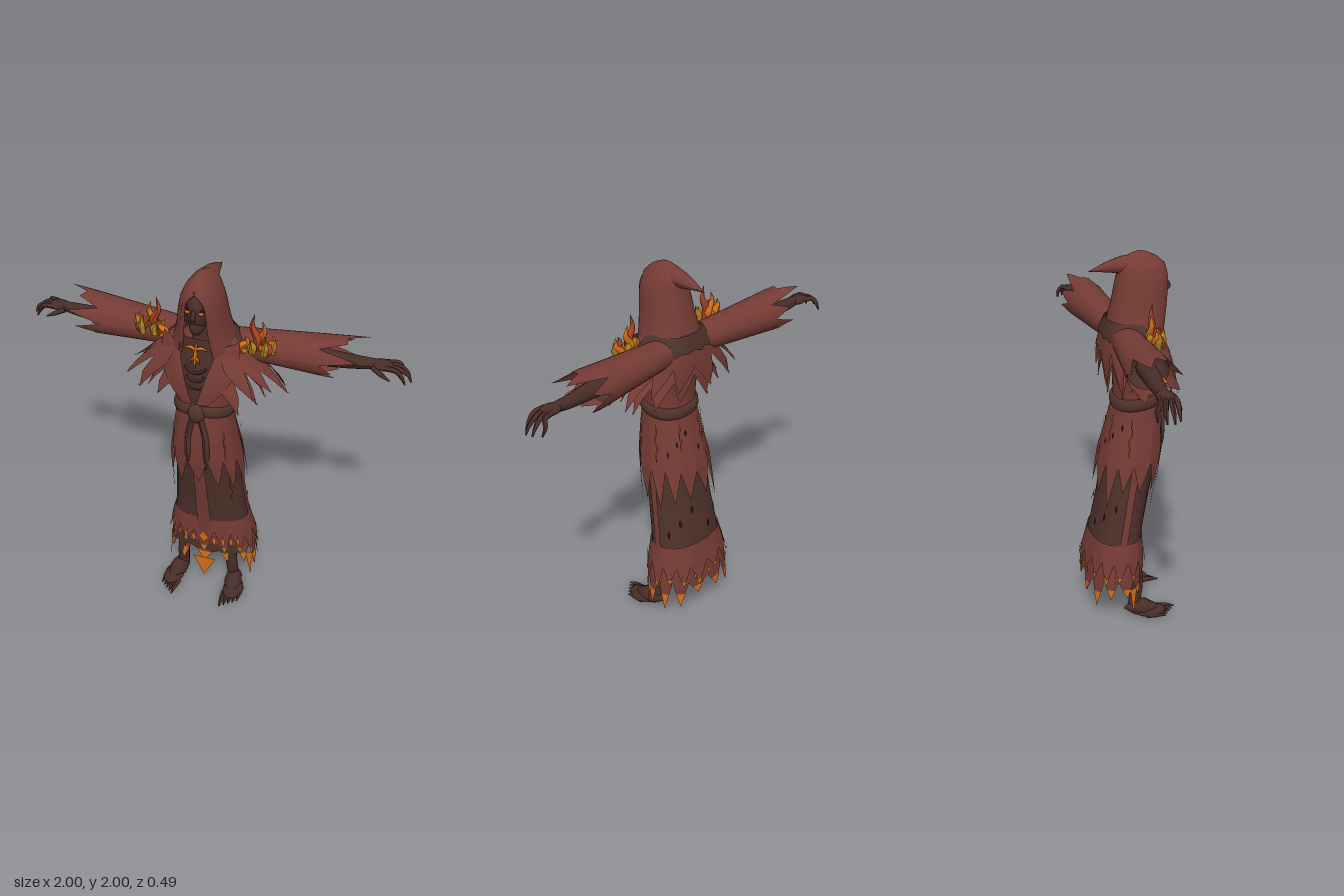
import * as THREE from 'three';

const mat = (name, color) => Object.assign(new THREE.MeshStandardMaterial({ color, side: THREE.DoubleSide }), { name });
const cloth = mat('red cloth', 0x753b34), brown = mat('brown underrobe', 0x4d312a), skin = mat('charred skin', 0x482d27);
const leather = mat('leather', 0x52332c), black = mat('soot', 0x1d1512), orange = mat('glowing orange', 0xd06c1a);
const gold = mat('dull gold', 0xab801f), ember = mat('ember red', 0xa8421f);

// Profile rows: [y, half width, front z, back z]
const ROBE = [[.08, .25, .07, -.235], [.3, .235, .07, -.22], [.48, .208, .08, -.192], [.7, .187, .12, -.15], [.95, .17, .172, -.115],
  [1.1, .153, .182, -.08], [1.25, .14, .182, -.052], [1.4, .155, .185, -.058], [1.55, .19, .165, -.08], [1.64, .14, .13, -.07], [1.68, .06, .1, -.03]];
const MANTLE = [[1.3, .46, .225, -.12], [1.41, .41, .225, -.125], [1.5, .3, .22, -.125], [1.6, .215, .18, -.11], [1.67, .13, .15, -.09]];
const UNDER_MANTLE = MANTLE.map(([y, x, f, b]) => [y - .05, x * .68, f - .015, b + .015]);
const HOOD = [[1.59, .18, .19, -.1], [1.66, .145, .205, -.085], [1.74, .125, .215, -.065], [1.82, .112, .222, -.05], [1.88, .099, .22, -.038],
  [1.93, .077, .205, -.03], [1.965, .05, .17, -.005], [1.99, .022, .12, .04], [2, .002, .082, .078]];
const OPENING = [[1.59, .085], [1.66, .075], [1.74, .066], [1.82, .06], [1.88, .047], [1.93, 0], [2, 0]];

let seed = 7;
const rand = () => (seed = (seed * 16807) % 2147483647) / 2147483647;

function sample(rows, y) {
  let i = 0;
  while (i < rows.length - 2 && y > rows[i + 1][0]) i++;
  const a = rows[i], b = rows[i + 1], t = THREE.MathUtils.clamp((y - a[0]) / (b[0] - a[0]), 0, 1);
  return a.map((v, k) => v + (b[k] - v) * t);
}

// Point on a profile; angle 0 faces the front
function at(rows, a, y, off = 0) {
  const [, hx, f, b] = sample(rows, y), s = Math.sin(a), c = Math.cos(a);
  return [(hx + off) * Math.sign(s) * Math.abs(s) ** .88, y, (f + b) / 2 + ((f - b) / 2 + off) * Math.sign(c) * Math.abs(c) ** .88];
}

function grid(nu, nv, fn) {
  const pos = [], idx = [];
  for (let j = 0; j <= nv; j++) for (let i = 0; i <= nu; i++) pos.push(...fn(i / nu, j / nv, i));
  for (let j = 0; j < nv; j++) for (let i = 0; i < nu; i++) {
    const a = j * (nu + 1) + i, b = a + nu + 1;
    idx.push(a, b, a + 1, a + 1, b, b + 1);
  }
  const g = new THREE.BufferGeometry();
  g.setAttribute('position', new THREE.Float32BufferAttribute(pos, 3));
  g.setIndex(idx);
  g.computeVertexNormals();
  return g;
}

function facets(points) {
  const g = new THREE.BufferGeometry();
  g.setAttribute('position', new THREE.Float32BufferAttribute(points.flat(), 3));
  g.computeVertexNormals();
  return g;
}

// Tapered tube through points, one radius per point
function limb(points, radii, sides = 8) {
  const curve = new THREE.CatmullRomCurve3(points.map(p => new THREE.Vector3(...p)));
  const n = points.length * 4, g = new THREE.TubeGeometry(curve, n, 1, sides), p = g.attributes.position, v = new THREE.Vector3();
  for (let i = 0; i < p.count; i++) {
    const t = Math.floor(i / (sides + 1)) / n, c = curve.getPointAt(t), k = Math.min(t * (radii.length - 1), radii.length - 1.001), q = Math.floor(k);
    v.fromBufferAttribute(p, i).sub(c).multiplyScalar(radii[q] + (radii[q + 1] - radii[q]) * (k - q)).add(c);
    p.setXYZ(i, v.x, v.y, v.z);
  }
  g.computeVertexNormals();
  return g;
}

export function createModel() {
  const root = new THREE.Group();
  const add = (name, geo, m, parent = root) => {
    const o = new THREE.Mesh(geo, m);
    o.name = name;
    parent.add(o);
    return o;
  };
  const ball = (name, p, s, m, parent) => {
    const o = add(name, new THREE.SphereGeometry(1, 16, 12), m, parent);
    o.position.set(...p);
    o.scale.set(...s);
  };

  // Cloth layer hanging from y0, with n pointed teeth and optional coloured tips
  function layer(name, rows, m, { y0, hem, n, depth = 0, off = [0, 0], from = -Math.PI, to = Math.PI, tip = null, tipSize = .3 }) {
    const ends = [], ang = t => from + (to - from) * t;
    for (let i = 0; i <= 2 * n; i++) ends.push(hem(ang(i / 2 / n)) + (i % 2 ? -depth * (.45 + .55 * rand()) : depth * .2 * rand()));
    ends[2 * n] = ends[0];
    // Four columns per tooth keep the cloth round
    const end = i => i % 2 ? (ends[(i - 1) / 2] + ends[(i + 1) / 2]) / 2 : ends[i / 2];
    const point = (t, v, i) => at(rows, ang(t), y0 + (end(i) - y0) * v, off[0] + (off[1] - off[0]) * v);
    add(name, grid(4 * n, 10, point), m);
    if (!tip) return;
    const tris = [];
    for (let i = 1; i < 2 * n; i += 2) {
      const c = (k, w) => at(rows, ang((i + (k - i) * w) / 2 / n), ends[i] + (ends[k] - ends[i]) * w, off[1] + .004);
      tris.push(c(i - 1, tipSize), c(i, 0), c(i + 1, tipSize));
    }
    add(name + 'Tips', facets(tris), tip);
  }

  // Robe, from inside to outside
  layer('torso', ROBE, cloth, { y0: 1.68, hem: () => .95, n: 12 });
  layer('underskirt', ROBE, brown, { y0: 1.1, hem: () => .3, n: 12, depth: .04, off: [-.006, -.006] });
  layer('upperSkirt', ROBE, cloth, { y0: 1.25, hem: a => .93 - .05 * (1 - Math.cos(a)) / 2, n: 13, depth: .22, off: [.002, .022] });
  const front = a => Math.abs(a) < .95;
  layer('innerHem', ROBE, cloth, { y0: .46, hem: a => front(a) ? .29 : .25, n: 13, depth: .15, off: [-.004, .006], tip: orange, tipSize: .55 });
  layer('outerHem', ROBE, cloth, { y0: .48, hem: a => front(a) ? .39 : .36, n: 15, depth: .15, off: [.002, .015], tip: gold, tipSize: .3 });
  layer('scorchedBand', ROBE, brown, { y0: .31, hem: () => .26, n: 6, depth: .02, off: [.01, .01], from: -.9, to: .9 });
  layer('frontStrip', ROBE, cloth, { y0: 1.22, hem: () => .4, n: 3, off: [.008, .01], from: -.14, to: .14 });
  for (const s of [-1, 1]) {
    layer('sideStrip', ROBE, cloth, { y0: 1, hem: () => .45, n: 2, off: [.003, .003], from: s * 1.5, to: s * 1.72 });
    add('sideHemPoint', facets([at(ROBE, s * 1.05, .22, .01), at(ROBE, s * 1.2, .06, .008), at(ROBE, s * 1.35, .22, .01)]), orange);
  }
  add('frontHemPoint', facets([[-.065, .2, .088], [0, .07, .088], [.065, .2, .088]]), orange);

  // Painted scorch marks, hem embers and glowing cracks
  const diamonds = (name, m, list) => add(name, facets(list.flatMap(([a, y, w, h, off]) => {
    const l = at(ROBE, a - w, y, off), r = at(ROBE, a + w, y, off), t = at(ROBE, a, y + h, off), b = at(ROBE, a, y - h, off);
    return [l, b, t, t, b, r];
  })), m);
  const holes = [], embers = [], cracks = [];
  for (let i = 0; i < 6; i++) {
    holes.push([2.1 + i * .42, .56 + (i % 3) * .06, .055, .026, .006], [2.3 + i * .34, 1.02 + (i % 3) * .05, .05, .02, .017]);
  }
  for (let i = -4; i <= 4; i++) embers.push([i * .2, i ? .34 : .36, i ? .05 : .09, .042, .022], [Math.PI + i * .33, .3, .03, .025, .022]);
  for (const s of [-1, 1]) for (let i = 0; i < 4; i++) {
    const lean = i % 2 * .05;
    cracks.push([s * (.8 + lean), 1.0 + i * .045, .025, .035, .024], [s * (1.9 + lean), 1.0 + i * .05, .025, .035, .022]);
    cracks.push([s * (.82 + lean), .7 + i * .045, .02, .035, .026], [s * (2.75 + lean), 1.05 + i * .035, .02, .028, .02]);
  }
  diamonds('scorchHoles', black, holes);
  diamonds('hemEmbers', orange, embers);
  diamonds('glowingCracks', ember, cracks);

  // Belt with knot and hanging tails lying on the robe
  const belt = new THREE.CatmullRomCurve3(Array.from({ length: 24 }, (_, i) => {
    const a = i / 24 * Math.PI * 2;
    return new THREE.Vector3(...at(ROBE, a, 1.245 + .012 * Math.cos(a), -.002));
  }), true);
  const strap = add('belt', new THREE.TubeGeometry(belt, 64, .02, 8, true), leather);
  strap.scale.y = 1.8;
  strap.position.y = -.8 * 1.245;
  ball('beltKnot', [0, 1.255, .19], [.045, .052, .026], leather);
  for (const s of [-1, 1]) add('beltTail', limb([[s * .02, 1.23, .19], [s * .045, 1.12, .188], [s * .05, 1, .184], [s * .045, .9, .173]], [.014, .017, .019, .004], 8), leather);

  // Shoulder mantle and lapels around an open chest
  layer('underMantle', UNDER_MANTLE, cloth, { y0: 1.6, hem: () => 1.44, n: 10, depth: .15, off: [0, .01], from: .45, to: Math.PI * 2 - .45, tip: ember, tipSize: .1 });
  layer('mantle', MANTLE, cloth, { y0: 1.67, hem: () => 1.5, n: 12, depth: .16, from: .5, to: Math.PI * 2 - .5, tip: ember, tipSize: .08 });
  layer('collarBand', MANTLE, brown, { y0: 1.67, hem: () => 1.59, n: 12, depth: .015, off: [.008, .008], from: 1.35, to: Math.PI * 2 - 1.35 });
  add('chest', grid(10, 6, (u, v) => {
    const w = .12 - .1 * v, x = (u * 2 - 1) * w;
    return [x, 1.67 - .34 * v, .165 + .045 * Math.sin(v * 1.6) - x * x * 2];
  }), skin);
  for (const s of [-1, 1]) {
    add('lapel', grid(6, 8, (u, v) => {
      const inner = .1 - .09 * v, outer = .19 + .03 * Math.sin(v * 3) - .13 * v * v, x = inner + (outer - inner) * u;
      return [s * x, 1.63 - .3 * v + .03 * u * (1 - v), .17 + .055 * Math.sin(v * 1.9) - x * x * 1.6];
    }), cloth);
    for (let i = 0; i < 3; i++) add('rib', limb([[0, 1.5 - i * .045, .202], [s * .03, 1.51 - i * .045, .2], [s * (.055 - i * .012), 1.53 - i * .045, .193]], [.007, .008, .006], 6), skin);
    add('chestRune', limb([[0, 1.622, .19], [s * .025, 1.638, .193], [s * .06, 1.63, .188]], [.008, .009, .003], 6), orange);
    add('lowerRune', limb([[0, 1.59, .2], [s * .012, 1.58, .204], [s * .024, 1.56, .204]], [.007, .007, .002], 6), orange);
  }
  add('runeStem', limb([[0, 1.665, .18], [0, 1.6, .2], [0, 1.53, .209]], [.003, .009, .003], 6), orange);

  // Hood, dark lining, rim and swept peak
  const hoodPoint = (u, v, off) => {
    const y = 1.59 + .41 * (1 - (1 - v) ** 1.6), w = sample(OPENING, y)[1], a = Math.asin(Math.min(1, w / sample(HOOD, y)[1]));
    return at(HOOD, a + (Math.PI * 2 - 2 * a) * u, y, off);
  };
  add('hood', grid(36, 24, (u, v) => hoodPoint(u, v, 0)), cloth);
  add('hoodLining', grid(36, 20, (u, v) => hoodPoint(u, v * .68, -.012)), brown);
  const rim = OPENING.slice(0, 6).map(([y, w]) => [w, y, at(HOOD, Math.asin(w / sample(HOOD, y)[1]), y)[2]]);
  for (const s of [-1, 1]) add('hoodRim', limb(rim.map(([x, y, z]) => [s * x, y, z - .006]), [.006, .009, .009, .009, .009, .009], 8), cloth);
  add('hoodPeak', limb([[0, 1.925, .07], [0, 1.932, -.01], [0, 1.927, -.08], [0, 1.912, -.18]], [.06, .045, .024, .001], 12), cloth);

  // Face and neck
  ball('head', [0, 1.82, .14], [.06, .1, .078], skin);
  ball('jaw', [0, 1.745, .17], [.036, .045, .045], skin);
  add('neck', limb([[0, 1.79, .1], [0, 1.7, .09], [0, 1.62, .1]], [.04, .04, .06]), skin);
  add('nose', limb([[0, 1.85, .21], [0, 1.81, .229], [0, 1.785, .208]], [.008, .013, .004], 6), skin);
  for (const s of [-1, 1]) {
    ball('eyeSocket', [s * .032, 1.835, .194], [.018, .016, .014], black);
    ball('eye', [s * .034, 1.833, .205], [.014, .008, .009], orange);
  }

  // Arms, legs and shoulder flames, mirrored
  for (const s of [1, -1]) {
    const side = new THREE.Group();
    side.name = s > 0 ? 'leftSide' : 'rightSide';
    root.add(side);
    const M = pts => pts.map(([x, y, z]) => [x * s, y, z]);

    // Sleeve flaring to a torn cuff of broad points
    const ends = Array.from({ length: 17 }, (_, i) => i % 2 ? .63 + .09 * rand() : .55 + .04 * rand());
    ends[4] = .68; ends[5] = .79; ends[9] = .7; ends[13] = .64; ends[1] = .75; ends[16] = ends[0];
    const end = i => i % 2 ? (ends[(i - 1) / 2] + ends[(i + 1) / 2]) / 2 : ends[i / 2];
    add('sleeve', grid(32, 10, (u, v, i) => {
      const x = .12 + (end(i) - .12) * v, a = u * Math.PI * 2, r = .077 + .042 * (x - .12) / .6;
      return [s * x, 1.583 + r * Math.sin(a) * .92, -.02 - .03 * (x - .12) / .5 + r * Math.cos(a)];
    }), cloth, side);
    add('sleeveLining', grid(24, 4, (u, v) => {
      const x = .45 + .1 * v, a = u * Math.PI * 2, r = v ? .094 + .006 * v : 0;
      return [s * x, 1.583 + r * Math.sin(a) * .9, -.043 + r * Math.cos(a)];
    }), brown, side);

    // Forearm and clawed hand
    add('forearm', limb(M([[.48, 1.58, -.04], [.62, 1.572, -.045], [.74, 1.572, -.055], [.84, 1.578, -.06]]), [.046, .044, .035, .025], 10), skin, side);
    ball('forearmEmber', [s * .68, 1.585, -.014], [.045, .008, .008], orange, side);
    ball('palm', [s * .85, 1.578, -.06], [.055, .023, .044], skin, side);
    for (let i = 0; i < 4; i++) {
      const z = -.09 + i * .021, f = -.128 + i * .032, len = [.955, .985, .995, .97][i];
      add('finger', limb(M([[.86, 1.58, z], [.92, 1.575, (z + f) / 2], [len - .02, 1.545, f], [len, 1.508, f]]), [.013, .013, .011, .004], 7), skin, side);
    }
    add('thumb', limb(M([[.81, 1.57, -.035], [.86, 1.55, -.01], [.9, 1.53, -.005]]), [.016, .013, .004], 7), skin, side);

    // Bare leg and foot
    add('leg', limb(M([[.12, .46, -.01], [.13, .33, .015], [.142, .2, .03], [.15, .06, .01]]), [.034, .036, .033, .032], 10), skin, side);
    add('foot', limb(M([[.15, .05, -.045], [.153, .052, -.025], [.162, .052, .04], [.172, .036, .1], [.178, .022, .17]]), [.003, .042, .05, .036, .012], 12), skin, side);
    ball('forefoot', [s * .178, .03, .1], [.055, .027, .085], skin, side);
    for (let i = 0; i < 5; i++) {
      const x = .138 + i * .02, z = .23 - i * .018;
      add('toe', limb(M([[x, .024, z - .09], [x + .004, .02, z - .03], [x + .006, .01, z + .014]]), [.016, .014, .004], 7), skin, side);
    }

    // Cluster of gold shards and flames on the shoulder
    for (let i = 0; i < 5; i++) {
      const x = .22 + i * .03, z = .075 + .03 * Math.sin(i * 2.4);
      add('goldShard', limb(M([[x, 1.605, z], [x + .006, 1.635, z], [x + (i - 2) * .009, 1.665 + .03 * rand(), z]]), [.017, .019, .001], 5), gold, side);
    }
    [[.215, 1.69, .09], [.25, 1.8, .065], [.285, 1.76, .05], [.315, 1.7, .085], [.34, 1.7, .06]].forEach(([x, h, z], i) => {
      const d = (h - 1.6) / 3, w = i % 2 ? .018 : -.018;
      add('flame', limb(M([[x, 1.6, z], [x + w, 1.6 + d, z], [x - w * .6, 1.6 + 2 * d, z], [x, h, z]]), [.014, .022, .014, .001], 6), i % 2 ? ember : orange, side);
    });
  }
  return root;
}
